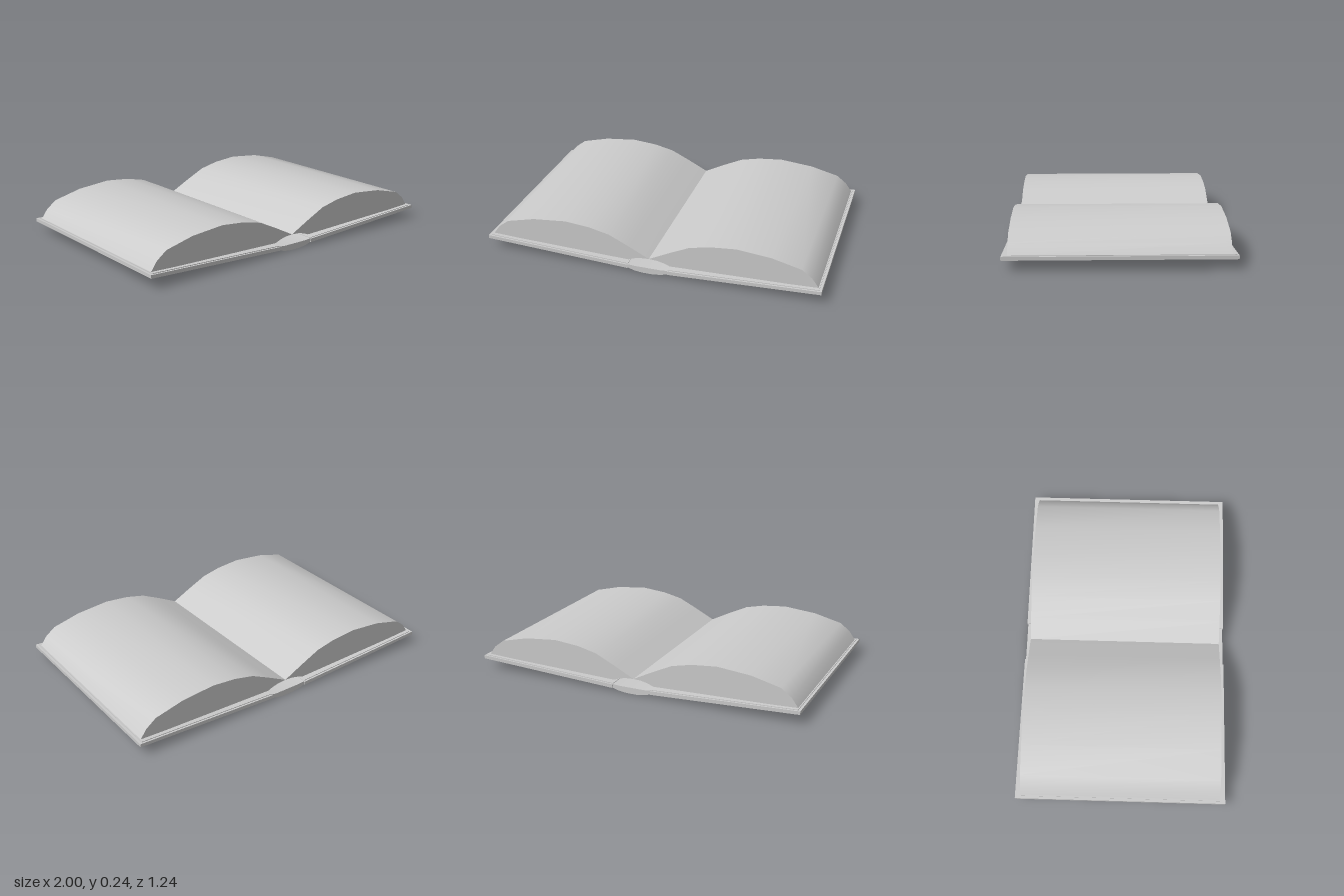
import * as THREE from 'three';
import { toCreasedNormals } from 'three/addons/utils/BufferGeometryUtils.js';

const material = new THREE.MeshStandardMaterial({ color: 0xcccccc });

// Extrude an x-y outline along z, centred on z = 0; soft across shallow bends
function slab(name, points, depth, side = 1) {
  const shape = new THREE.Shape(points.map(([x, y]) => new THREE.Vector2(x * side, y)));
  const geometry = new THREE.ExtrudeGeometry(shape, { depth, bevelEnabled: false });
  geometry.translate(0, 0, -depth / 2);
  const mesh = new THREE.Mesh(toCreasedNormals(geometry, 0.7), material);
  mesh.name = name;
  return mesh;
}

export function createModel() {
  const book = new THREE.Group();
  book.name = 'openBook';

  // Half outlines, drawn for the +x side
  const cover = [[0.12, 0.018], [1, 0.06], [1, 0.08], [0.12, 0.04]];
  const endpaper = [[0.12, 0.04], [0.985, 0.079], [0.985, 0.083], [0.12, 0.044]];
  const pages = [
    [0, 0.082], [0.05, 0.079], [0.09, 0.07], [0.125, 0.056], [0.55, 0.068], [0.98, 0.08],
    [0.94, 0.135], [0.88, 0.18], [0.71, 0.222], [0.51, 0.241], [0.36, 0.227],
    [0.24, 0.2], [0.12, 0.143],
  ];

  for (const [label, side] of [['left', 1], ['right', -1]]) {
    book.add(slab(label + 'Cover', cover, 1.242, side));
    book.add(slab(label + 'Endpaper', endpaper, 1.22, side));
    book.add(slab(label + 'Pages', pages, 1.176, side));
  }

  // Rounded spine bridging the two covers
  const spine = [
    [-0.13, 0.042], [-0.12, 0.018], [-0.08, 0.006], [-0.03, 0], [0.03, 0],
    [0.08, 0.006], [0.12, 0.018], [0.13, 0.042], [0.08, 0.037], [-0.08, 0.037],
  ];
  book.add(slab('spine', spine, 1.23));

  return book;
}
